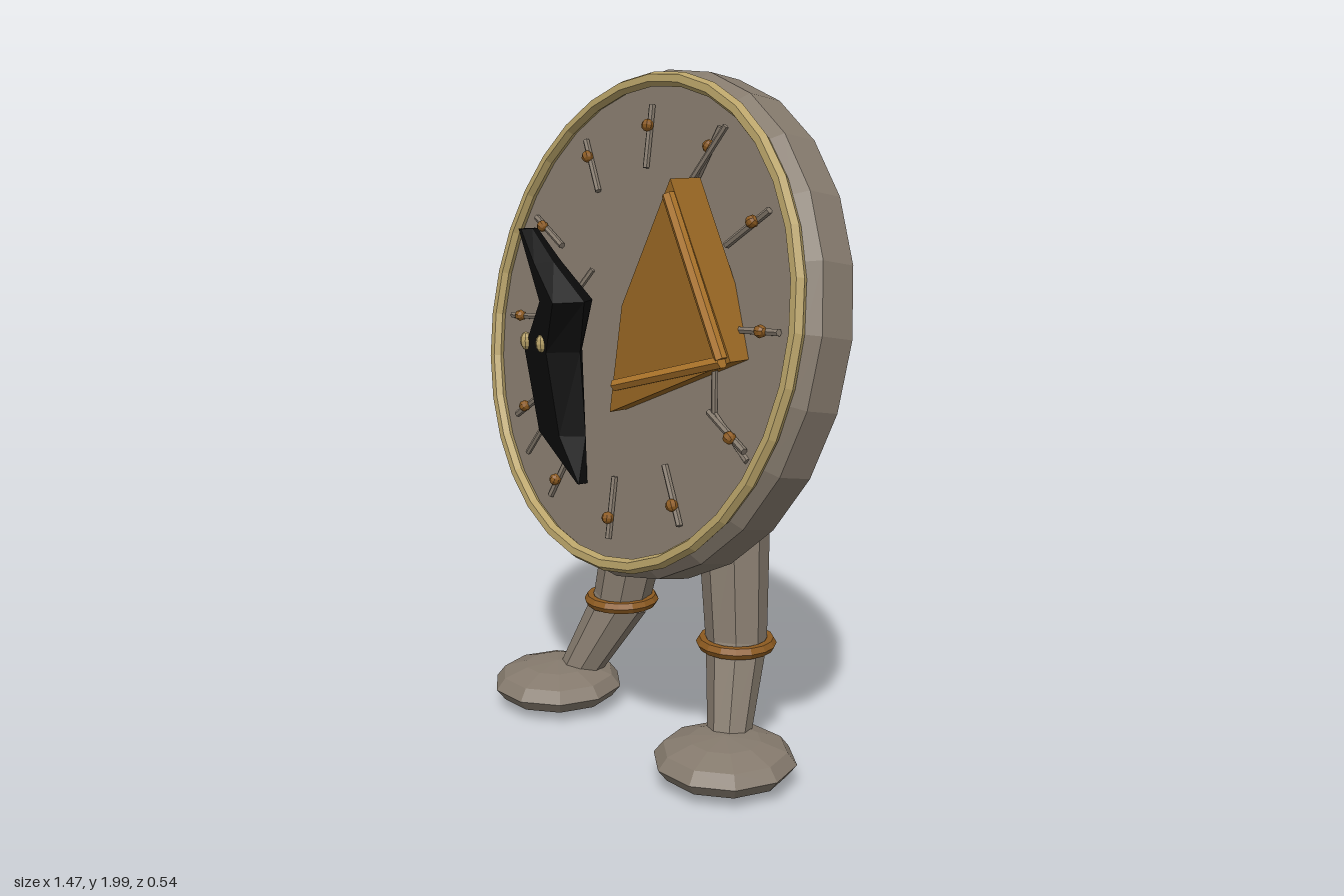
import * as THREE from 'three';

const mat = (name, color) => {
  const m = new THREE.MeshStandardMaterial({ color, flatShading: true });
  m.name = name;
  return m;
};

export function createModel() {
  const stone = mat('stone', 0x857a6d);
  const gold = mat('pale gold', 0xb8a268);
  const bronze = mat('bronze', 0x8c5a20);
  const amber = mat('amber', 0x9a6824);
  const amberTrim = mat('amber trim', 0xb0772c);
  const black = mat('black', 0x0b0b0b);

  const model = new THREE.Group();
  model.name = 'standingDial';

  const add = (parent, name, geometry, material, pos = [0, 0, 0]) => {
    const mesh = new THREE.Mesh(geometry, material);
    mesh.name = name;
    mesh.position.set(...pos);
    parent.add(mesh);
    return mesh;
  };
  // Tapered rod running from point a to point b
  const rod = (parent, name, a, b, ra, rb, sides, material) => {
    const A = new THREE.Vector3(...a), B = new THREE.Vector3(...b);
    const dir = B.clone().sub(A);
    const mesh = add(parent, name, new THREE.CylinderGeometry(rb, ra, dir.length(), sides), material);
    mesh.position.copy(A).add(B).multiplyScalar(0.5);
    mesh.quaternion.setFromUnitVectors(new THREE.Vector3(0, 1, 0), dir.normalize());
    return mesh;
  };

  // Tilted dial with bevelled edges
  const dial = new THREE.Group();
  dial.name = 'dial';
  dial.position.set(0, 1.27, 0);
  dial.rotation.set(-0.183, -0.07, 0.07, 'YXZ');
  model.add(dial);
  const profile = [[0, -0.15], [0.66, -0.15], [0.735, -0.073], [0.735, 0.035], [0.705, 0.07], [0, 0.07]]
    .map(([r, y]) => new THREE.Vector2(r, y));
  add(dial, 'dialBody', new THREE.LatheGeometry(profile, 24), stone).rotation.x = Math.PI / 2;
  add(dial, 'dialRim', new THREE.TorusGeometry(0.697, 0.021, 6, 32), gold, [0, 0, 0.087]);

  // Twelve hour marks, each a rod with a bead
  for (let i = 0; i < 12; i++) {
    const mark = new THREE.Group();
    mark.name = 'hourMark';
    mark.rotation.z = -i * Math.PI / 6;
    dial.add(mark);
    rod(mark, 'markRod', [0, 0.445, 0.08], [0, 0.625, 0.08], 0.01, 0.01, 6, stone);
    add(mark, 'markBead', new THREE.SphereGeometry(0.018, 8, 6), bronze, [0, 0.565, 0.09]);
  }

  // Amber wedge with two trim bars
  const wedge = new THREE.Shape([[0.275, 1.705], [0.075, 1.35], [0.02, 1.04], [0.508, 1.245]]
    .map(([x, y]) => new THREE.Vector2(x, y)));
  add(model, 'amberWedge', new THREE.ExtrudeGeometry(wedge, { depth: 0.108, bevelEnabled: false }), amber, [0, 0, 0.07]);
  rod(model, 'wedgeTrim', [0.485, 1.25, 0.19], [0.28, 1.665, 0.19], 0.018, 0.018, 6, amberTrim);
  rod(model, 'wedgeTrim', [0.49, 1.245, 0.19], [0.06, 1.125, 0.19], 0.018, 0.018, 6, amberTrim);

  // Thin jointed limbs of the two figures
  [
    [[0.24, 1.6, 0.085], [0.205, 1.68, 0.05], [0.325, 1.84, 0.025]],
    [[0.41, 1.23, 0.14], [0.41, 1.09, 0.14], [0.56, 0.99, 0.165]],
    [[-0.34, 0.94, 0.14], [-0.42, 0.84, 0.145]],
    [[-0.295, 1.3, 0.09], [-0.21, 1.42, 0.05]],
  ].forEach(path => {
    for (let i = 1; i < path.length; i++) rod(model, 'thinLimb', path[i - 1], path[i], 0.009, 0.009, 6, stone);
  });

  // Black pointed figure: hexagonal sections [y, left x, right x, back z, front z]
  const sections = [
    [0.80, -0.135, -0.12, 0.13, 0.18],
    [0.94, -0.345, -0.128, 0.11, 0.205],
    [1.19, -0.375, -0.143, 0.10, 0.235],
    [1.34, -0.254, -0.116, 0.10, 0.247],
    [1.45, -0.278, -0.217, 0.15, 0.25],
    [1.545, -0.312, -0.285, 0.19, 0.25],
  ];
  const rings = sections.map(([y, l, r, b, f]) => {
    const w = r - l, m = b + (f - b) * 0.4;
    return [[l, y, m], [l + w * 0.3, y, f], [l + w * 0.75, y, f], [r, y, m], [l + w * 0.75, y, b], [l + w * 0.3, y, b]];
  });
  const verts = [];
  const tri = (a, b, c) => verts.push(...a, ...b, ...c);
  for (let i = 0; i < rings.length - 1; i++) {
    for (let j = 0; j < 6; j++) {
      const k = (j + 1) % 6, lo = rings[i], hi = rings[i + 1];
      tri(lo[j], lo[k], hi[k]);
      tri(lo[j], hi[k], hi[j]);
    }
  }
  const bottom = rings[0], top = rings[rings.length - 1];
  for (let j = 1; j < 5; j++) {
    tri(top[0], top[j], top[j + 1]);
    tri(bottom[0], bottom[j + 1], bottom[j]);
  }
  const figure = new THREE.BufferGeometry();
  figure.setAttribute('position', new THREE.Float32BufferAttribute(verts, 3));
  figure.computeVertexNormals();
  add(model, 'blackFigure', figure, black);
  for (const x of [-0.297, -0.222]) {
    add(model, 'figureEye', new THREE.SphereGeometry(0.018, 8, 6), gold, [x, 1.215, 0.235]).scale.y = 1.5;
  }

  // Mirrored legs with knee bands and flattened feet
  for (const s of [-1, 1]) {
    const leg = new THREE.Group();
    leg.name = s > 0 ? 'leftLeg' : 'rightLeg';
    model.add(leg);
    const knee = [s * 0.262, 0.35, -0.1];
    rod(leg, 'upperLeg', knee, [s * 0.21, 0.66, -0.137], 0.09, 0.105, 8, stone);
    rod(leg, 'lowerLeg', [s * 0.355, 0.09, 0.02], knee, 0.06, 0.09, 8, stone);
    add(leg, 'kneeBand', new THREE.TorusGeometry(0.1, 0.019, 6, 16), bronze, knee).rotation.x = Math.PI / 2;
    add(leg, 'foot', new THREE.SphereGeometry(0.207, 10, 6), stone, [s * 0.387, 0.075, 0.065]).scale.y = 0.34;
  }
  return model;
}
